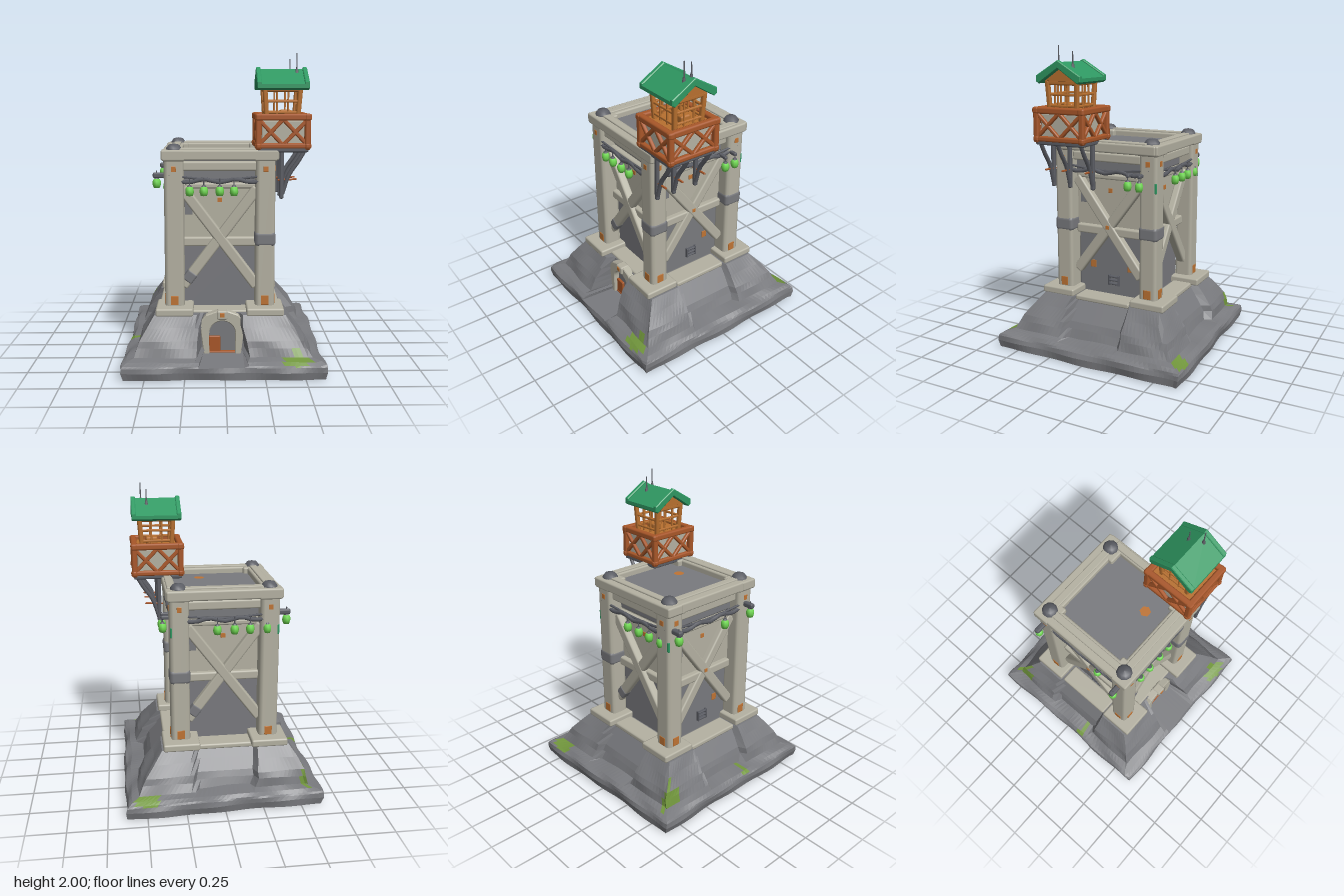
import * as THREE from 'three';
import { RoundedBoxGeometry } from 'three/addons/geometries/RoundedBoxGeometry.js';

const mat = (name, color) => {
  const m = new THREE.MeshStandardMaterial({ color });
  m.name = name;
  return m;
};
const V = (x, y, z) => new THREE.Vector3(x, y, z);
const CX = -0.03; // the tower sits slightly off the middle of its rock

export function createModel() {
  const model = new THREE.Group();
  model.name = 'watchtower';
  const rock = mat('rock grey', 0x797a7e), stone = mat('pale stone', 0xb4b1a2), iron = mat('dark iron', 0x5b5d64);
  const rust = mat('rust wood', 0xa95729), wood = mat('light wood', 0xb8702f), spot = mat('orange stain', 0xbf7434);
  const roofGreen = mat('roof green', 0x2f9862), glow = mat('lantern green', 0x70d852), moss = mat('moss', 0x71963c);

  const add = (parent, name, geo, material, x = 0, y = 0, z = 0) => {
    const m = new THREE.Mesh(geo, material);
    m.name = name;
    m.position.set(x, y, z);
    parent.add(m);
    return m;
  };
  const group = (parent, name, x = 0, y = 0, z = 0) => {
    const g = new THREE.Group();
    g.name = name;
    g.position.set(x, y, z);
    parent.add(g);
    return g;
  };
  const block = (p, name, m, w, h, d, x, y, z, r = 0.012) =>
    add(p, name, new RoundedBoxGeometry(w, h, d, 1, Math.min(r, w / 3, h / 3, d / 3)), m, x, y, z);
  const bar = (p, name, m, a, b, w, d = w) => {
    const dir = b.clone().sub(a), mid = a.clone().add(b).multiplyScalar(0.5);
    const o = block(p, name, m, w, dir.length(), d, mid.x, mid.y, mid.z);
    o.quaternion.setFromUnitVectors(V(0, 1, 0), dir.normalize());
    return o;
  };
  const tube = (p, name, m, pts, r) =>
    add(p, name, new THREE.TubeGeometry(new THREE.CatmullRomCurve3(pts), 14, r, 6), m);

  // Rocky mound: square rings with notches in each side, mossy where a face lies in a patch
  const levels = [[0.002, 0.01], [0.002, 0.63], [0.05, 0.64], [0.08, 0.635], [0.09, 0.625], [0.105, 0.6], [0.118, 0.558],
    [0.17, 0.538], [0.21, 0.52], [0.28, 0.47], [0.35, 0.42], [0.352, 0.05]];
  const N = 40;
  const ring = (y, h, j) => Array.from({ length: 4 * N }, (_, i) => {
    const k = Math.floor(i / N), t = ((i % N) / N) * 2 - 1, a = (k + t / 2) * 1.2;
    const rough = h > 0.3 && j > 0 && j < 10 ? 0.005 * (Math.sin(a * 16 + j * 1.1) + Math.sin(a * 7 - j * 0.6)) : 0;
    let out = h + rough;
    const u = t * h;
    if (k === 0 && y > 0.085 && Math.abs(u) < 0.14) out = Math.min(out, 0.37);
    else if (k !== 0 && y > 0.11 && Math.abs(u) < 0.19) out = Math.min(out, h - 0.05);
    const p = [[u, out], [out, -u], [-u, -out], [-out, u]][k];
    const skew = p[1] < 0 && j < 7 ? 0.03 * p[0] : 0; // the back edge runs slightly askew
    return V(p[0] + CX * Math.min(1, y / 0.35), y + (j > 2 && j < 8 && k ? rough * 0.8 : 0), p[1] * 1.02 - skew);
  });
  const rings = levels.map(([y, h], j) => ring(y, h, j));
  const patches = [[0.45, 0.6, 0.09, 0.045], [-0.595, 0.135, 0.036, 0.04], [-0.545, -0.51, 0.03, 0.08], [0.49, -0.62, 0.08, 0.045]];
  const faces = [[], []];
  for (let j = 0; j < rings.length - 1; j++) for (let i = 0; i < 4 * N; i++) {
    const n = (i + 1) % (4 * N), a = rings[j][i], b = rings[j][n], c = rings[j + 1][n], d = rings[j + 1][i];
    const x = (a.x + c.x) / 2, z = (a.z + c.z) / 2;
    const mossy = j > 2 && patches.some(([px, pz, rx, rz]) => ((x - px) / rx) ** 2 + ((z - pz) / rz) ** 2 < 1);
    faces[mossy ? 1 : 0].push(a, b, c, a, c, d);
  }
  const moundGeo = new THREE.BufferGeometry().setFromPoints(faces.flat());
  moundGeo.computeVertexNormals();
  moundGeo.addGroup(0, faces[0].length, 0);
  moundGeo.addGroup(faces[0].length, faces[1].length, 1);
  add(model, 'rockMound', moundGeo, [rock, moss]);
  const under = add(model, 'undersideStain', new THREE.CircleGeometry(0.22, 7), wood, 0, 0, 0);
  under.rotation.x = Math.PI / 2;

  // Arched doorway
  const door = group(model, 'doorway', -0.015, 0, 0.365);
  const arch = new THREE.Shape();
  [[-0.115, 0.085], [-0.14, 0.29], [-0.1, 0.34], [-0.03, 0.365], [0.03, 0.365], [0.1, 0.34], [0.14, 0.29], [0.115, 0.085]]
    .forEach(([x, y], i) => (i ? arch.lineTo(x, y) : arch.moveTo(x, y)));
  arch.lineTo(0.09, 0.085);
  arch.lineTo(0.09, 0.22);
  arch.absarc(0, 0.22, 0.09, 0, Math.PI, false);
  arch.lineTo(-0.09, 0.085);
  add(door, 'arch', new THREE.ExtrudeGeometry(arch, { depth: 0.045, bevelSize: 0.006, bevelThickness: 0.006, bevelSegments: 1 }), stone);
  block(door, 'keystone', stone, 0.07, 0.06, 0.07, 0, 0.345, 0.03);
  block(door, 'keystoneStain', spot, 0.03, 0.03, 0.008, 0, 0.35, 0.066);
  block(door, 'doorLeaf', rust, 0.075, 0.115, 0.02, -0.05, 0.14, 0.02);
  block(door, 'threshold', rust, 0.17, 0.012, 0.03, 0, 0.091, 0.02);

  // Tower core and deck
  const tower = group(model, 'tower', CX);
  block(tower, 'lowerWall', rock, 0.5, 0.48, 0.5, 0, 0.57, 0);
  block(tower, 'upperWall', stone, 0.53, 0.4, 0.53, 0, 1.0, 0);
  block(tower, 'wallHead', rock, 0.55, 0.15, 0.55, 0, 1.265, 0);
  block(tower, 'deck', rock, 0.62, 0.05, 0.6, 0, 1.335, 0);
  const stain = add(tower, 'deckStain', new THREE.CircleGeometry(0.037, 6), spot, 0.11, 1.363, 0.14);
  stain.rotation.x = -Math.PI / 2;

  // Corner pillars with feet and domed caps
  const dome = [[0.052, 0], [0.05, 0.014], [0.034, 0.035], [0, 0.042]].map(([r, y]) => new THREE.Vector2(r, y));
  for (const sx of [-1, 1]) for (const sz of [-1, 1]) {
    const p = group(tower, 'cornerPillar', sx * 0.29, 0, sz * 0.31);
    block(p, 'foot', stone, 0.24, 0.05, 0.24, 0, 0.37, sz * 0.02);
    block(p, 'shaft', stone, 0.125, 1.0, 0.125, 0, 0.86, 0, 0.025);
    block(p, 'cornerStone', stone, 0.15, 0.07, 0.15, 0, 1.365, 0);
    add(p, 'cap', new THREE.LatheGeometry(dome, 10), iron, 0, 1.395, 0);
    if (sx > 0) block(p, 'patchBand', rock, 0.135, 0.1, 0.135, 0, 0.83, 0, 0.025);
    if (sz < 0) block(p, 'greenPatch', roofGreen, 0.03, 0.07, 0.03, sx * 0.044, 1.13, -0.044, 0.006);
    for (const [y, w, h] of [[0.43, 0.05, 0.06], [1.28, 0.03, 0.034]]) {
      block(p, 'stainSide', spot, 0.006, h, w, sx * 0.063, y, 0);
      block(p, 'stainFace', spot, w, h, 0.006, 0, y, sz * 0.063);
    }
  }

  // Lantern with an iron cap
  const glass = [[0, -0.032], [0.02, -0.029], [0.027, -0.008], [0.026, 0.012], [0.018, 0.028], [0, 0.03]]
    .map(([r, h]) => new THREE.Vector2(r, h));
  const lantern = (p, x, y, z) => {
    const g = group(p, 'lantern', x, y, z);
    add(g, 'glass', new THREE.LatheGeometry(glass, 8), glow);
    add(g, 'lanternCap', new THREE.CylinderGeometry(0.01, 0.017, 0.012, 8), iron, 0, 0.032, 0);
    add(g, 'hook', new THREE.CylinderGeometry(0.004, 0.004, 0.05, 5), iron, 0, 0.055, 0);
  };
  const lanterns = [[-0.19, -0.1, 0, 0.09], [0.19, 0.27], [-0.05, 0.06, 0.16, 0.27], [0.13]];

  // The four sides share one layout, turned a quarter each time
  for (let k = 0; k < 4; k++) {
    const s = group(tower, ['frontSide', 'rightSide', 'backSide', 'leftSide'][k]);
    s.rotation.y = k * Math.PI / 2;
    const e = k % 2 ? -0.02 : 0; // the tower is a little narrower in x
    const thin = k === 1; // the cabin side has a slimmer parapet
    block(s, 'topBeam', stone, 0.74, 0.065, thin ? 0.075 : 0.12, 0, 1.367, thin ? 0.337 : 0.325 + e);
    block(s, 'topRail', stone, 0.6, 0.02, 0.05, 0, 1.4, thin ? 0.335 : 0.31 + e);
    block(s, 'upperBeam', stone, 0.5, 0.06, 0.08, 0, 1.295, 0.305 + e);
    block(s, 'panelHead', stone, 0.48, 0.035, 0.05, 0, 1.165, 0.275);
    block(s, 'middleBeam', stone, 0.48, 0.06, 0.06, 0, 0.8, 0.27);
    block(s, 'sill', stone, k ? 0.4 : 0.36, 0.035, 0.14, 0, 0.345, k ? 0.33 : 0.3);
    bar(s, 'braceA', stone, V(-0.24, 0.51, 0.3 + e), V(0.24, 1.15, 0.3 + e), 0.068, 0.052);
    bar(s, 'braceB', stone, V(-0.24, 1.15, 0.3 + e), V(0.24, 0.51, 0.3 + e), 0.068, 0.058);
    if (k % 2 === 0) bar(s, 'bracePatch', rock, V(-0.215, 0.543, 0.3), V(-0.17, 0.603, 0.3), 0.072, 0.06);
    block(s, 'panelPatch', rock, 0.05, 0.09, 0.006, -0.2, 1.02, 0.267);
    block(s, 'wallStain', spot, 0.03, 0.03, 0.006, 0, 1.07, 0.267);
    if (k % 2) {
      block(s, 'braceStain', spot, 0.025, 0.025, 0.006, 0, 0.83, 0.31);
      for (const x of [-0.14, 0.14]) block(s, 'lowerStain', spot, 0.04, 0.05, 0.006, x, 0.55, 0.252);
      for (const y of [0.43, 0.455, 0.48]) block(s, 'grateBar', iron, 0.07, 0.012, 0.03, 0.02, y, 0.255);
      for (const x of [-0.015, 0.055]) block(s, 'grateSide', iron, 0.012, 0.075, 0.03, x, 0.455, 0.255);
    }
    const z = 0.365 + e;
    const wave = [-0.3, -0.2, -0.1, 0, 0.1, 0.2, 0.3].map((x, i) => V(x, 1.205 + (i % 2 ? -0.01 : 0.01), z - 0.01));
    tube(s, 'garland', iron, wave, 0.014);
    tube(s, 'garlandCable', iron, [V(-0.32, 1.24, z), V(0, 1.21, z - 0.02), V(0.32, 1.24, z)], 0.008);
    const reach = thin ? 0.39 : z;
    for (const x of lanterns[k]) {
      lantern(s, x, 1.14, reach);
      if (thin) bar(s, 'lanternArm', iron, V(x, 1.205, 0.33), V(x, 1.205, reach + 0.01), 0.024);
    }
    if (k === 3) for (const x of [-0.33, 0.31]) {
      lantern(s, x, 1.185, 0.4);
      bar(s, 'lanternArm', iron, V(x, 1.235, 0.33), V(x, 1.235, 0.425), 0.036);
    }
  }

  // Lookout cabin
  const cab = group(model, 'lookoutCabin', 0.365, 0, 0.205);
  const A = 0.153, B = 0.165;
  block(cab, 'cabinFloor', iron, 0.32, 0.03, 0.35, 0, 1.4, 0);
  block(cab, 'balconyInfill', stone, 0.27, 0.16, 0.3, 0, 1.505, 0);
  block(cab, 'balconyFloor', wood, 0.28, 0.015, 0.3, 0, 1.59, 0);
  for (const s of [-1, 1]) {
    for (const t of [-1, 1]) {
      block(cab, 'balconyPost', rust, 0.038, 0.22, 0.038, s * A, 1.51, t * B);
      bar(cab, 'housePost', wood, V(s * 0.098, 1.59, t * 0.098), V(s * 0.112, 1.79, t * 0.106), 0.03);
    }
    for (const [y, w] of [[1.425, 0.034], [1.603, 0.042]]) {
      bar(cab, 'balconyRail', rust, V(-A - 0.024, y, s * B), V(A + 0.024, y, s * B), w);
      bar(cab, 'balconyRail', rust, V(s * A, y, -B - 0.024), V(s * A, y, B + 0.024), w);
    }
    for (const t of [-1, 0]) for (const flip of [0, 1]) { // two crosses per side
      const y0 = flip ? 1.59 : 1.43, y1 = flip ? 1.43 : 1.59;
      bar(cab, 'balconyCross', rust, V(t * A, y0, s * B), V((t + 1) * A, y1, s * B), 0.025);
      bar(cab, 'balconyCross', rust, V(s * A, y0, t * B), V(s * A, y1, (t + 1) * B), 0.025);
    }
    for (const y of [1.63, 1.7, 1.775]) {
      const w = y > 1.75 ? 0.034 : 0.016;
      bar(cab, 'houseRail', wood, V(-0.11, y, s * 0.102), V(0.11, y, s * 0.102), w);
      bar(cab, 'houseRail', wood, V(s * 0.105, y, -0.105), V(s * 0.105, y, 0.105), w);
    }
    for (const t of [-0.035, 0.035]) {
      block(cab, 'windowBar', wood, 0.012, 0.17, 0.012, t, 1.69, s * 0.102);
      block(cab, 'windowBar', wood, 0.012, 0.17, 0.012, s * 0.105, 1.69, t);
    }
  }
  block(cab, 'crate', wood, 0.08, 0.05, 0.07, 0.03, 1.62, -0.01);

  // Gable roof, run along x, with thicker rims at both ends
  const runAlongX = (name, m, pts, len, x = 0) => {
    const g = new THREE.ExtrudeGeometry(new THREE.Shape(pts.map(([px, py]) => new THREE.Vector2(px, py))),
      { depth: len, bevelSize: 0.005, bevelThickness: 0.005, bevelSegments: 1 });
    g.translate(0, 0, -len / 2);
    add(cab, name, g, m, x).rotation.y = Math.PI / 2;
  };
  const chevron = (lift) => [[-0.155, 1.785], [-0.14, 1.775], [0, 1.868], [0.14, 1.775], [0.155, 1.785],
    [0.155, 1.802 + lift], [0, 1.895 + lift], [-0.155, 1.802 + lift]];
  runAlongX('gable', wood, [[-0.125, 1.785], [0.125, 1.785], [0, 1.87]], 0.24);
  runAlongX('roof', roofGreen, chevron(0), 0.3);
  for (const s of [-1, 1]) runAlongX('roofRim', roofGreen, chevron(0.012), 0.02, s * 0.148);
  for (const [x, z, top] of [[0.095, 0.03, 2.0], [0.06, -0.05, 1.965]]) {
    add(cab, 'aerial', new THREE.CylinderGeometry(0.003, 0.006, top - 1.86, 6), iron, x, (top + 1.86) / 2, z);
    add(cab, 'aerialFoot', new THREE.CylinderGeometry(0.008, 0.014, 0.03, 6), iron, x, 1.9 - Math.abs(z) * 0.5, z);
  }
  // Struts under the cabin
  for (const z of [0.15, 0.025, -0.145]) {
    tube(cab, 'strut', iron, [V(0.14, 1.4, z), V(0.1, 1.33, z), V(0.04, 1.24, z), V(0, 1.12, z)], 0.014);
    block(cab, 'strutPost', iron, 0.028, 0.3, 0.028, -0.005, 1.24, z);
    bar(cab, 'strutPin', rust, V(-0.03, 1.21, z), V(0.09, 1.215, z), 0.012);
  }
  return model;
}
